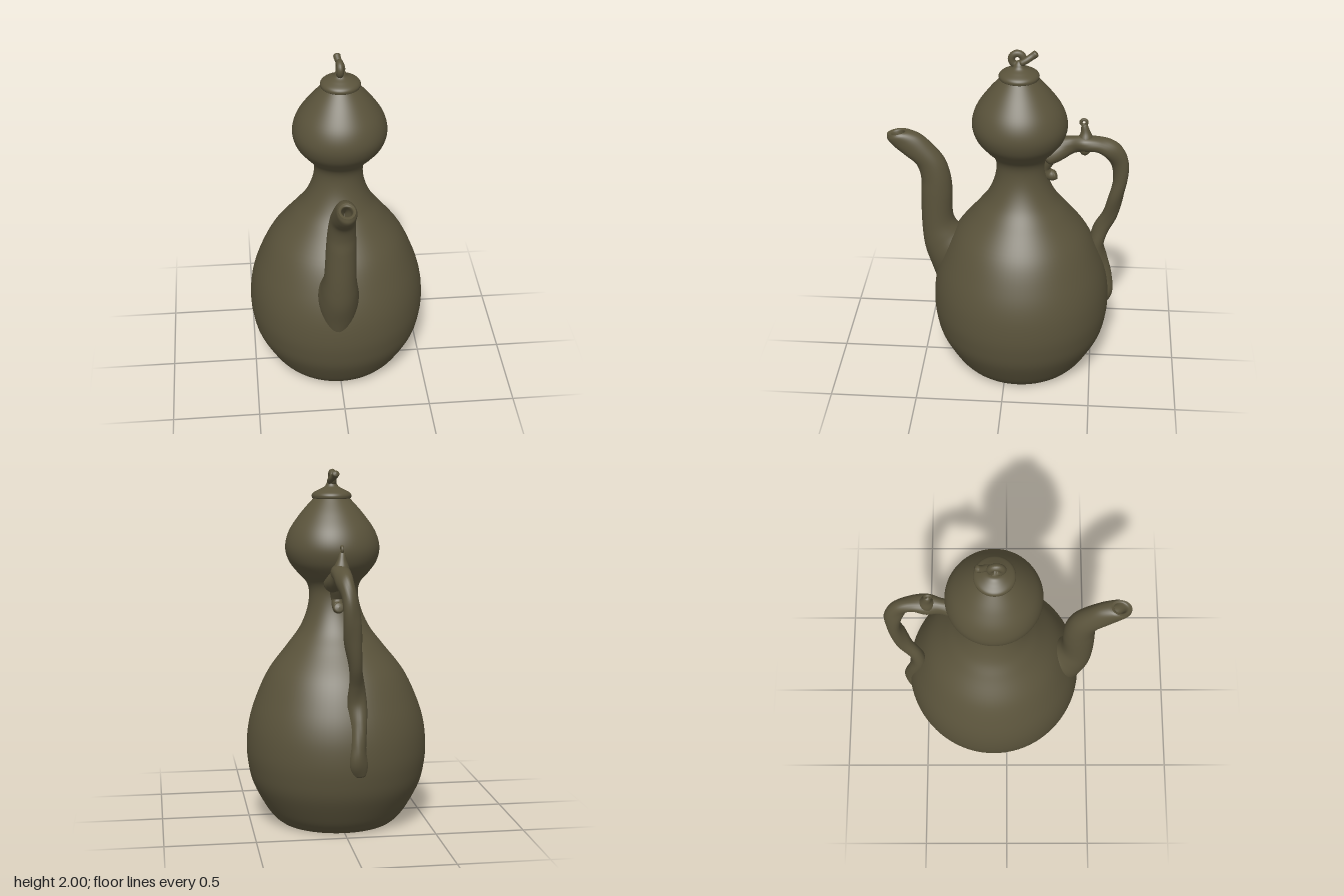
import * as THREE from 'three';
import { mergeVertices } from 'three/addons/utils/BufferGeometryUtils.js';

const bronze = new THREE.MeshStandardMaterial({ color: 0x5a533b });
bronze.name = 'dark olive bronze';

const v = (x, y, z) => new THREE.Vector3(x, y, z);
const smooth = (x, a, b) => THREE.MathUtils.smoothstep(x, a, b);

function part(name, geometry) {
  const mesh = new THREE.Mesh(geometry, bronze);
  mesh.name = name;
  return mesh;
}

// Weld the seam so that shading runs smoothly all round
function weld(geometry) {
  geometry.deleteAttribute('uv');
  geometry.deleteAttribute('normal');
  const welded = mergeVertices(geometry, 1e-5);
  welded.computeVertexNormals();
  return welded;
}

// Turned shape; its axis leans slightly towards the top
function turned(profile, steps) {
  const curve = new THREE.SplineCurve(profile.map(([r, y]) => new THREE.Vector2(r, y)));
  const points = curve.getPoints(steps).map(p => new THREE.Vector2(Math.max(p.x, 0), p.y));
  const geometry = new THREE.LatheGeometry(points, 80);
  const pos = geometry.attributes.position;
  for (let i = 0; i < pos.count; i++) {
    const y = pos.getY(i);
    pos.setX(i, pos.getX(i) + 0.023 * smooth(y, 0.6, 1.85));
    pos.setZ(i, pos.getZ(i) - 0.08 + 0.018 * smooth(y, 1.0, 1.9));
  }
  return weld(geometry);
}

// Tube whose radius follows the path points [x, y, z, r]; ends are rounded shut
function branch(path, { twist = 0, ridge = 0, segments = 60, sides = 20 } = {}) {
  const curve = new THREE.CatmullRomCurve3(path.map(p => v(p[0], p[1], p[2])));
  const radii = new THREE.CatmullRomCurve3(path.map((p, i) => v(p[3], i, 0)));
  curve.getPointAt = t => curve.getPoint(t);
  curve.getTangentAt = t => curve.getTangent(t);
  const geometry = new THREE.TubeGeometry(curve, segments, 1, sides);
  const pos = geometry.attributes.position;
  const nor = geometry.attributes.normal;
  const p = v(0, 0, 0), n = v(0, 0, 0);
  for (let i = 0; i <= segments; i++) {
    const t = i / segments;
    const end = i === 0 || i === segments ? 0.001 : i === 1 || i === segments - 1 ? 0.8 : 1;
    const r = radii.getPoint(t).x * end;
    for (let j = 0; j <= sides; j++) {
      const k = i * (sides + 1) + j;
      const swell = 1 + ridge * Math.cos(2 * (j / sides) * Math.PI * 2 + twist * t);
      n.fromBufferAttribute(nor, k);
      p.copy(curve.getPoint(t)).addScaledVector(n, r * swell);
      pos.setXYZ(k, p.x, p.y, p.z);
    }
  }
  return weld(geometry);
}

// Skin over rings, each spanning a front point and a back point:
// [front z, front y, back z, back y, half width, centre x]
function loft(sections, steps, sides = 40) {
  const front = new THREE.CatmullRomCurve3(sections.map(s => v(s[4], s[1], s[0])));
  const back = new THREE.CatmullRomCurve3(sections.map(s => v(s[5], s[3], s[2])));
  const positions = [], index = [];
  for (let i = 0; i <= steps; i++) {
    const f = front.getPoint(i / steps), b = back.getPoint(i / steps);
    for (let j = 0; j < sides; j++) {
      const a = j / sides * Math.PI * 2, c = Math.cos(a) / 2;
      positions.push(b.x + Math.sin(a) * f.x,
        (f.y + b.y) / 2 + (f.y - b.y) * c,
        (f.z + b.z) / 2 + (f.z - b.z) * c);
      if (i < steps) {
        const q = i * sides + j, r = i * sides + (j + 1) % sides;
        index.push(q, r, q + sides, r, r + sides, q + sides);
      }
    }
  }
  const geometry = new THREE.BufferGeometry();
  geometry.setAttribute('position', new THREE.Float32BufferAttribute(positions, 3));
  geometry.setIndex(index);
  geometry.computeVertexNormals();
  return geometry;
}

export function createModel() {
  const model = new THREE.Group();
  model.name = 'gourdEwer';

  // Double gourd body
  model.add(part('body', turned([
    [0.335, 0.004], [0.365, 0.03], [0.41, 0.09], [0.478, 0.22], [0.505, 0.33], [0.513, 0.44],
    [0.5, 0.57], [0.46, 0.705], [0.385, 0.865], [0.272, 1.013], [0.2, 1.11], [0.155, 1.21],
    [0.138, 1.305], [0.152, 1.37], [0.2, 1.425], [0.247, 1.49], [0.265, 1.57],
    [0.24, 1.66], [0.175, 1.755], [0.1, 1.84]], 110)));
  const foot = part('base', new THREE.CylinderGeometry(0.336, 0.33, 0.006, 80));
  foot.position.set(0, 0.003, -0.08);
  model.add(foot);

  // Lid with a looped stalk for a knob
  const lid = new THREE.Group();
  lid.name = 'lid';
  lid.add(part('lidCap', turned([
    [0, 1.836], [0.095, 1.836], [0.111, 1.849], [0.103, 1.868], [0.07, 1.887],
    [0.04, 1.903], [0.026, 1.925], [0.012, 1.94], [0, 1.942]], 50)));
  const loop = part('lidLoop', new THREE.TorusGeometry(0.032, 0.02, 14, 32));
  loop.rotation.y = Math.PI / 2;
  loop.position.set(0.018, 1.948, -0.052);
  lid.add(loop);
  lid.add(part('lidStalk', branch([
    [0.035, 1.925, -0.065, 0.018], [0.03, 1.945, -0.1, 0.018],
    [0.016, 1.963, -0.13, 0.019], [0.01, 1.984, -0.16, 0.021]], { segments: 20 })));
  model.add(lid);

  // Spout with a hollow lip
  const spout = new THREE.Group();
  spout.name = 'spout';
  spout.add(part('spoutTube', loft([
    [0.40, 0.42, 0.19, 0.50, 0.07, -0.03], [0.443, 0.58, 0.22, 0.82, 0.115, -0.025],
    [0.487, 0.73, 0.285, 0.875, 0.103, -0.022], [0.50, 0.865, 0.318, 0.935, 0.09, -0.02],
    [0.50, 1.10, 0.32, 1.12, 0.083, -0.015], [0.497, 1.195, 0.332, 1.225, 0.077, -0.013],
    [0.522, 1.28, 0.363, 1.315, 0.07, -0.011], [0.59, 1.342, 0.432, 1.405, 0.064, -0.008],
    [0.65, 1.395, 0.49, 1.46, 0.058, -0.006], [0.68, 1.437, 0.545, 1.484, 0.053, -0.005],
    [0.68, 1.465, 0.565, 1.487, 0.045, -0.005]], 70)));
  spout.add(part('spoutMouth', loft([
    [0.68, 1.465, 0.565, 1.487, 0.045, -0.005], [0.655, 1.464, 0.58, 1.478, 0.031, -0.005],
    [0.62, 1.41, 0.55, 1.44, 0.026, -0.006], [0.55, 1.36, 0.51, 1.39, 0.002, -0.008]], 18)));
  model.add(spout);

  // Twisted branch handle running down into a root on the body
  const handle = new THREE.Group();
  handle.name = 'handle';
  handle.add(part('handleBranch', branch([
    [0.015, 1.37, -0.20, 0.07], [0.015, 1.415, -0.28, 0.062], [0.018, 1.445, -0.36, 0.046],
    [0.025, 1.455, -0.43, 0.052], [0.03, 1.455, -0.51, 0.045], [0.025, 1.42, -0.58, 0.048],
    [0.005, 1.34, -0.625, 0.046], [-0.005, 1.23, -0.635, 0.044], [-0.012, 1.11, -0.615, 0.044],
    [-0.03, 0.98, -0.585, 0.04], [-0.045, 0.87, -0.535, 0.043], [-0.05, 0.77, -0.515, 0.048],
    [-0.05, 0.65, -0.535, 0.05], [-0.05, 0.53, -0.56, 0.05], [-0.052, 0.44, -0.568, 0.052],
    [-0.055, 0.36, -0.55, 0.04]], { twist: 26, ridge: 0.12, segments: 140 })));
  // Curled tendril against the neck
  handle.add(part('neckTendril', branch([
    [0.012, 1.40, -0.25, 0.05], [0.012, 1.35, -0.225, 0.045], [0.012, 1.29, -0.205, 0.036],
    [0.012, 1.255, -0.225, 0.033], [0.012, 1.245, -0.255, 0.032],
    [0.012, 1.252, -0.278, 0.024]], { segments: 32 })));
  // Pierced twig on top and the knot beneath it
  handle.add(part('twig', branch([
    [0.025, 1.43, -0.43, 0.052], [0.022, 1.49, -0.432, 0.042], [0.02, 1.525, -0.43, 0.027],
    [0.018, 1.555, -0.425, 0.02], [0.018, 1.574, -0.422, 0.014]], { segments: 24 })));
  const eyelet = part('twigEyelet', new THREE.TorusGeometry(0.0165, 0.009, 10, 24));
  eyelet.rotation.y = Math.PI / 2;
  eyelet.position.set(0.018, 1.583, -0.42);
  handle.add(eyelet);
  const knot = part('branchKnot', new THREE.SphereGeometry(0.032, 20, 14));
  knot.scale.set(1, 1.2, 1);
  knot.position.set(0.025, 1.424, -0.43);
  handle.add(knot);
  model.add(handle);

  return model;
}
